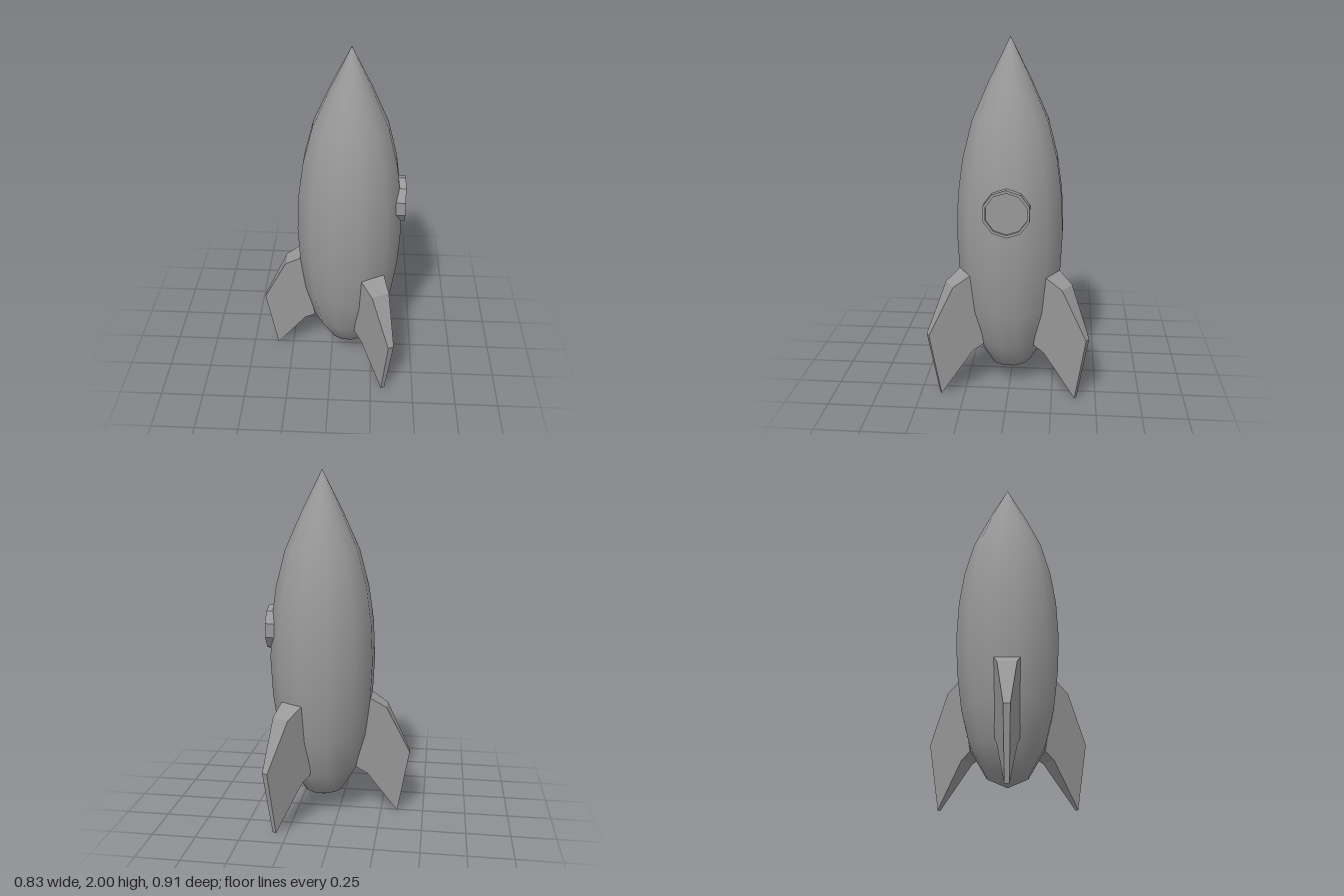
import * as THREE from 'three';

const grey = new THREE.MeshStandardMaterial({ color: 0x999999 });
grey.name = 'grey';

const AXIS_X = 0.1; // the hull axis sits off centre

function part(name, geometry) {
  const mesh = new THREE.Mesh(geometry, grey);
  mesh.name = name;
  return mesh;
}

function faceted(geometry) {
  const flat = geometry.index ? geometry.toNonIndexed() : geometry;
  flat.computeVertexNormals();
  return flat;
}

const points = (list) => list.map(([x, y]) => new THREE.Vector2(x, y));

// Smooth twelve-sided hull with a flat side facing each fin
function hullGeometry() {
  const profile = [
    [0, 0.075], [0.113, 0.13], [0.205, 0.29], [0.257, 0.5], [0.285, 0.72], [0.295, 0.93],
    [0.286, 1.15], [0.258, 1.35], [0.205, 1.56], [0.113, 1.77], [0, 2],
  ];
  const toCorner = 1 / Math.cos(Math.PI / 12);
  return new THREE.LatheGeometry(
    points(profile.map(([r, y]) => [r * toCorner, y])), 12, Math.PI / 12);
}

// Swept fin, thick at the root and thin at the outer edge
function finGeometry() {
  const outline = [
    [0.283, 0.72], [0.378, 0.66], [0.515, 0.38], [0.447, 0], [0.267, 0.25], [0.203, 0.29],
  ];
  const geometry = new THREE.ExtrudeGeometry(new THREE.Shape(points(outline)),
    { depth: 2, bevelEnabled: false });
  geometry.translate(0, 0, -1);
  const pos = geometry.attributes.position;
  for (let i = 0; i < pos.count; i++) {
    const half = 0.073 - 0.173 * (pos.getX(i) - 0.285) + 0.045 * (pos.getY(i) - 0.72);
    pos.setZ(i, pos.getZ(i) * half);
  }
  return faceted(geometry);
}

// Ten-sided porthole rim with a recessed pane
function portholeGeometry() {
  const profile = [[0.13, 0], [0.13, 0.085], [0.115, 0.085], [0.115, 0.07], [0, 0.07]];
  const geometry = new THREE.LatheGeometry(points(profile), 10, Math.PI / 2);
  geometry.rotateZ(-Math.PI / 2);
  return faceted(geometry);
}

export function createModel() {
  const rocket = new THREE.Group();
  rocket.name = 'rocket';

  const hull = part('hull', hullGeometry());
  hull.position.x = AXIS_X;
  rocket.add(hull);

  const finShape = finGeometry();
  const fins = [['rightFin', Math.PI], ['frontFin', -Math.PI / 3], ['backFin', Math.PI / 3]];
  for (const [name, angle] of fins) {
    const fin = part(name, finShape);
    fin.position.x = AXIS_X;
    fin.rotation.y = angle;
    rocket.add(fin);
  }

  const porthole = part('porthole', portholeGeometry());
  porthole.position.set(0.328, 1.11, 0);
  rocket.add(porthole);

  return rocket;
}
